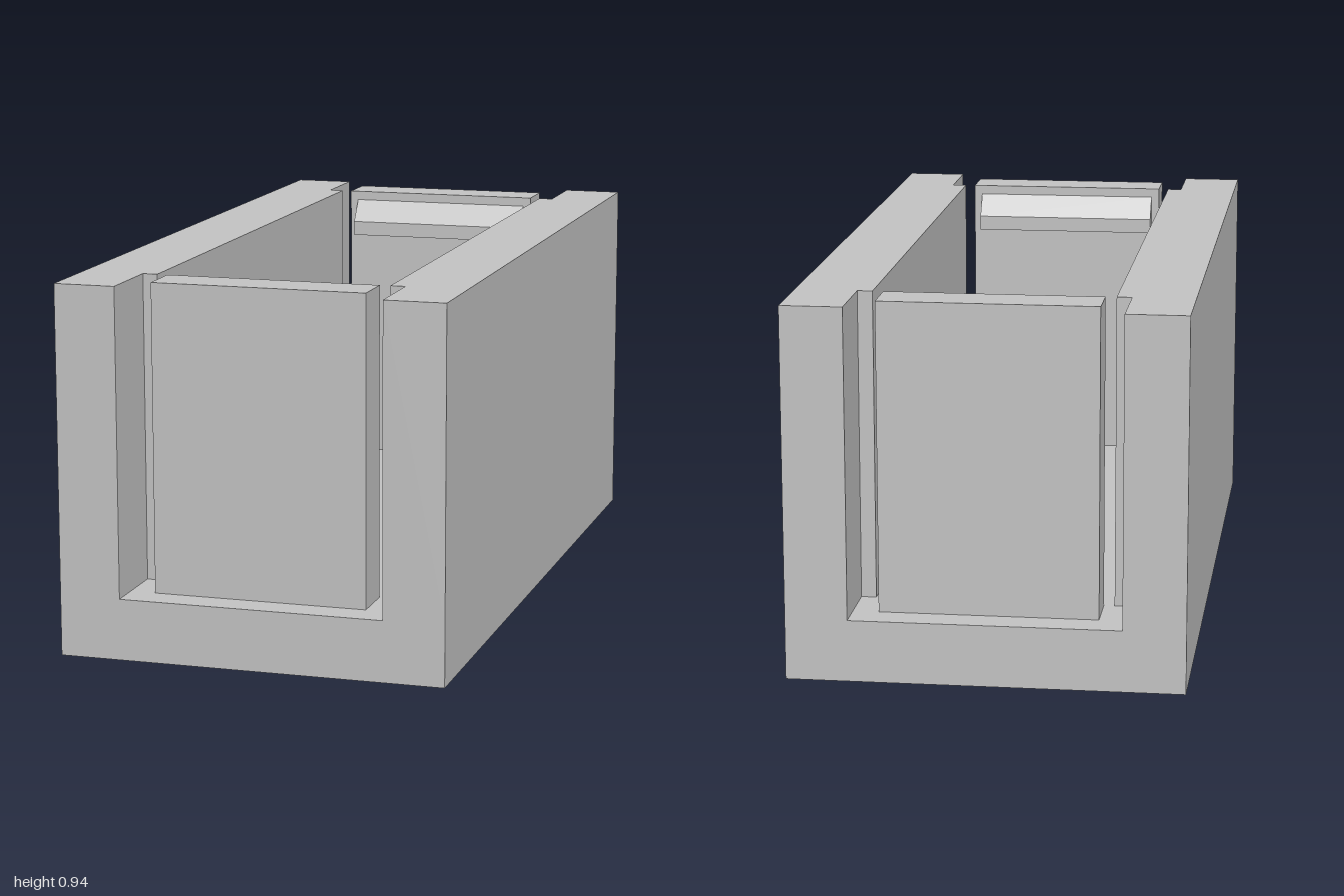
import * as THREE from 'three';

const HALF_WIDTH = 0.497, HALF_LENGTH = 1, HEIGHT = 0.945, FLOOR = 0.157;
const INNER = 0.302, SLOT = 0.34, SLOT_Z = 0.8;

function extrude(points, depth) {
  const shape = new THREE.Shape(points.map(([x, y]) => new THREE.Vector2(x, y)));
  return new THREE.ExtrudeGeometry(shape, { depth, bevelEnabled: false });
}

function addMesh(parent, name, geometry, material) {
  const mesh = new THREE.Mesh(geometry, material);
  mesh.name = name;
  parent.add(mesh);
  return mesh;
}

export function createModel() {
  const model = new THREE.Group();
  model.name = 'openChannelBox';
  const grey = new THREE.MeshStandardMaterial({ color: 0xc4c4c4 });
  grey.name = 'plain grey';

  // Floor slab
  const floor = new THREE.BoxGeometry(2 * HALF_WIDTH, FLOOR, 2 * HALF_LENGTH);
  addMesh(model, 'floor', floor.translate(0, FLOOR / 2, 0), grey);

  // Side walls, thinner at both ends
  const wall = extrude([
    [HALF_WIDTH, -HALF_LENGTH], [HALF_WIDTH, HALF_LENGTH],
    [SLOT, HALF_LENGTH], [SLOT, SLOT_Z], [INNER, SLOT_Z],
    [INNER, -SLOT_Z], [SLOT, -SLOT_Z], [SLOT, -HALF_LENGTH],
  ], HEIGHT - FLOOR).rotateX(-Math.PI / 2).translate(0, FLOOR, 0);
  addMesh(model, 'leftWall', wall, grey);
  addMesh(model, 'rightWall', wall, grey).rotation.y = Math.PI;

  // End panel, standing on the floor between the wall ends
  const panel = new THREE.BoxGeometry(0.55, HEIGHT - FLOOR, 0.12)
    .translate(0, (HEIGHT + FLOOR) / 2, SLOT_Z + 0.06);

  // Catch on the panel's inner face: sloped top, flat underside
  const catchBar = extrude([
    [SLOT_Z, 0.82], [SLOT_Z, 0.92], [SLOT_Z - 0.043, 0.86], [SLOT_Z - 0.043, 0.82],
  ], 0.506).translate(0, 0, -0.253).rotateY(-Math.PI / 2);

  for (const [name, turn] of [['front', 0], ['back', Math.PI]]) {
    const end = new THREE.Group();
    end.name = name + 'Gate';
    end.rotation.y = turn;
    addMesh(end, name + 'Panel', panel, grey);
    addMesh(end, name + 'Catch', catchBar, grey);
    model.add(end);
  }
  return model;
}
